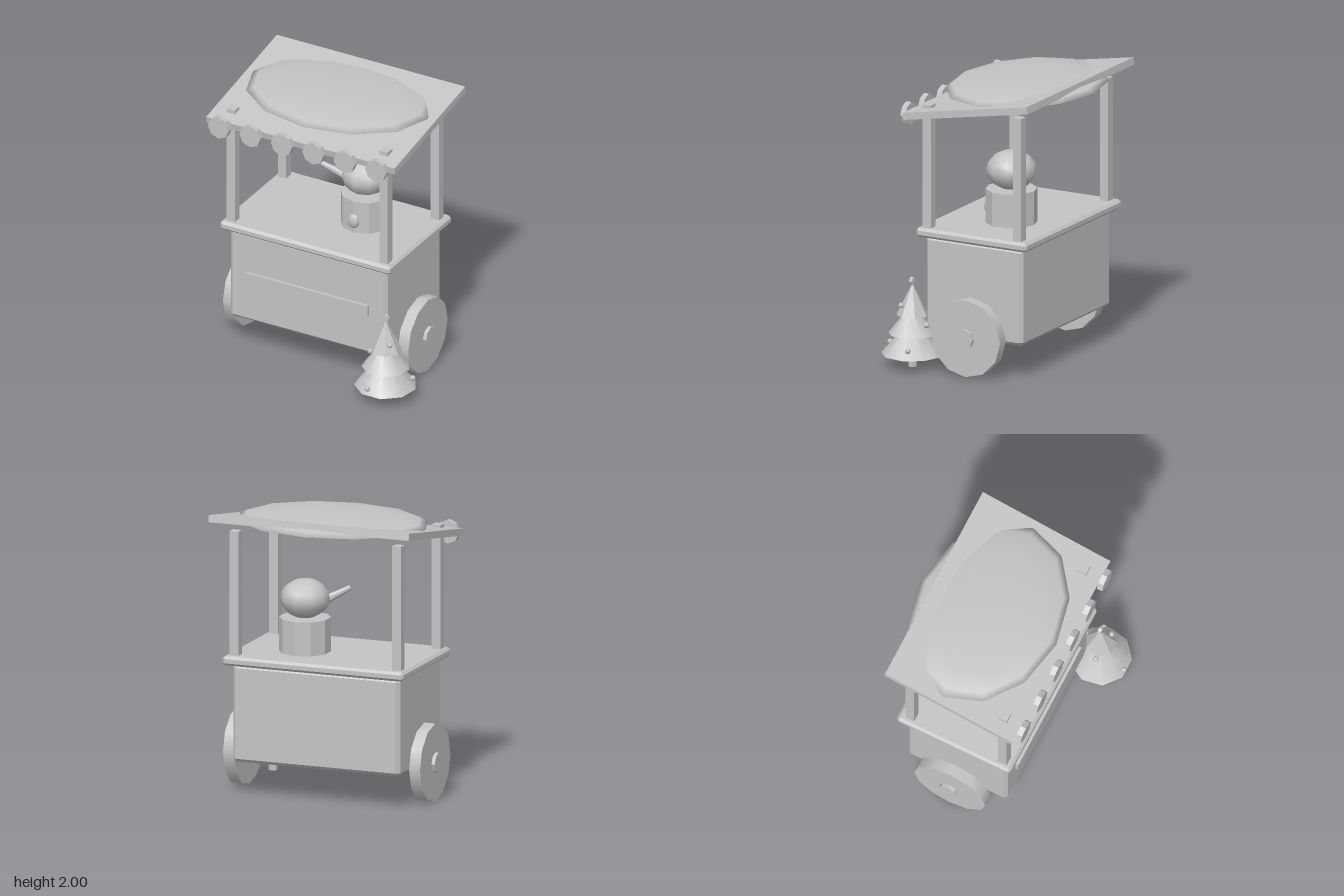
import * as THREE from 'three';
import { ConvexGeometry } from 'three/addons/geometries/ConvexGeometry.js';

const grey = new THREE.MeshStandardMaterial({ color: 0xc4c4c4 });
grey.name = 'plain grey';

// Faceted normals for hard-edged parts
function flat(geometry) {
  const g = geometry.index ? geometry.toNonIndexed() : geometry;
  g.computeVertexNormals();
  return g;
}

// Box with every edge chamfered
function chamferBox(w, h, d, c) {
  const points = [];
  for (const x of [-1, 1]) for (const y of [-1, 1]) for (const z of [-1, 1])
    for (let axis = 0; axis < 3; axis++) {
      const inset = [0, 1, 2].map((i) => (i === axis ? 0 : c));
      points.push(new THREE.Vector3(
        x * (w / 2 - inset[0]), y * (h / 2 - inset[1]), z * (d / 2 - inset[2])));
    }
  return new ConvexGeometry(points);
}

export function createModel() {
  const model = new THREE.Group();
  model.name = 'marketCart';
  const add = (name, geometry, x, y, z, parent = model) => {
    const mesh = new THREE.Mesh(geometry, grey);
    mesh.name = name;
    mesh.position.set(x, y, z);
    parent.add(mesh);
    return mesh;
  };
  const cx = -0.066, cz = -0.042;

  // Cart body, counter and front strip
  add('cartBody', chamferBox(1.245, 0.69, 0.765, 0.024), cx, 0.585, cz);
  add('counter', chamferBox(1.35, 0.066, 0.875, 0.018), cx, 0.962, -0.047);
  add('frontStrip', new THREE.BoxGeometry(0.97, 0.08, 0.04), cx, 0.586, 0.342);

  // Wheels with hubs
  for (const side of [-1, 1]) {
    const wheel = new THREE.Group();
    wheel.name = side > 0 ? 'leftWheel' : 'rightWheel';
    wheel.position.set(cx + side * 0.694, 0.275, cz);
    model.add(wheel);
    const tyre = new THREE.CylinderGeometry(0.275, 0.275, 0.082, 12).rotateZ(Math.PI / 2);
    const hub = new THREE.CylinderGeometry(0.07, 0.07, 0.026, 8).rotateZ(Math.PI / 2);
    add('wheelDisc', tyre, 0, 0, 0, wheel);
    add('wheelHub', flat(hub), side * 0.054, 0, 0, wheel);
  }

  // Four posts; the front pair pokes through the roof
  for (const x of [-0.672, 0.54])
    for (const z of [0.318, -0.397])
      add('post', new THREE.BoxGeometry(0.066, 0.88, 0.066), x, 1.433, z);

  // Sloping roof
  const roof = add('roof', new THREE.BoxGeometry(1.494, 0.05, 1), cx + 0.003, 1.888, -0.047);
  roof.rotation.x = THREE.MathUtils.degToRad(10);

  // Scalloped edge
  for (let i = 0; i < 6; i++) {
    const disc = new THREE.CylinderGeometry(0.083, 0.083, 0.04, 8).rotateX(Math.PI / 2);
    add('scallop', flat(disc), -0.689 + i * 0.249, 1.79, 0.471);
  }

  // Shallow snow cap lying over the roof
  const cap = new THREE.SphereGeometry(1, 12, 4, 0, Math.PI * 2, 0, Math.PI / 2);
  add('snowCap', cap, cx, 1.93, -0.113).scale.set(0.692, 0.07, 0.523);

  // Snowman on the counter
  const snowman = new THREE.Group();
  snowman.name = 'snowman';
  snowman.position.set(0.143, 0.995, -0.108);
  model.add(snowman);
  add('snowmanBody', flat(new THREE.CylinderGeometry(0.18, 0.18, 0.24, 10)), 0, 0.12, 0, snowman);
  const head = new THREE.SphereGeometry(1, 10, 8).rotateY(Math.PI / 2);
  add('snowmanHead', head, 0, 0.373, 0, snowman).scale.set(0.174, 0.138, 0.178);
  add('button', new THREE.SphereGeometry(1, 8, 6), 0, 0.09, 0.178, snowman)
    .scale.set(0.045, 0.055, 0.028);
  const from = new THREE.Vector3(-0.113, 0.35, 0.058);
  const to = new THREE.Vector3(-0.288, 0.447, 0.128);
  const along = to.clone().sub(from);
  const nose = add('nose', flat(new THREE.CylinderGeometry(0.018, 0.032, along.length(), 8)),
    0, 0, 0, snowman);
  nose.position.copy(from).add(to).multiplyScalar(0.5);
  nose.quaternion.setFromUnitVectors(new THREE.Vector3(0, 1, 0), along.normalize());

  // Small tree: trunk, three tiers, topper and baubles
  const tree = new THREE.Group();
  tree.name = 'tree';
  tree.position.set(0.597, 0, 0.418);
  model.add(tree);
  add('trunk', flat(new THREE.CylinderGeometry(0.032, 0.032, 0.11, 6)), 0, 0.055, 0, tree);
  const tiers = [[0.218, 0.09, 0.25, 9], [0.168, 0.235, 0.215, 9], [0.112, 0.367, 0.225, 7]];
  tiers.forEach(([r, y, h, sides], i) => {
    const cone = new THREE.ConeGeometry(r, h, sides).rotateY(Math.PI / sides);
    add('treeTier', i === 2 ? flat(cone) : cone, 0, y + h / 2, 0, tree);
  });
  const topper = new THREE.CylinderGeometry(0.027, 0.027, 0.025, 8).rotateX(Math.PI / 2);
  add('treeTopper', flat(topper), 0, 0.61, 0, tree);
  const baubles = [
    [0.063, 0.44, 0.055], [-0.112, 0.33, 0.02], [0.03, 0.315, -0.128],
    [-0.137, 0.19, -0.118], [-0.034, 0.14, 0.198], [0.178, 0.157, -0.063],
  ];
  for (const [x, y, z] of baubles)
    add('bauble', new THREE.SphereGeometry(0.02, 8, 6), x, y, z, tree);

  return model;
}
